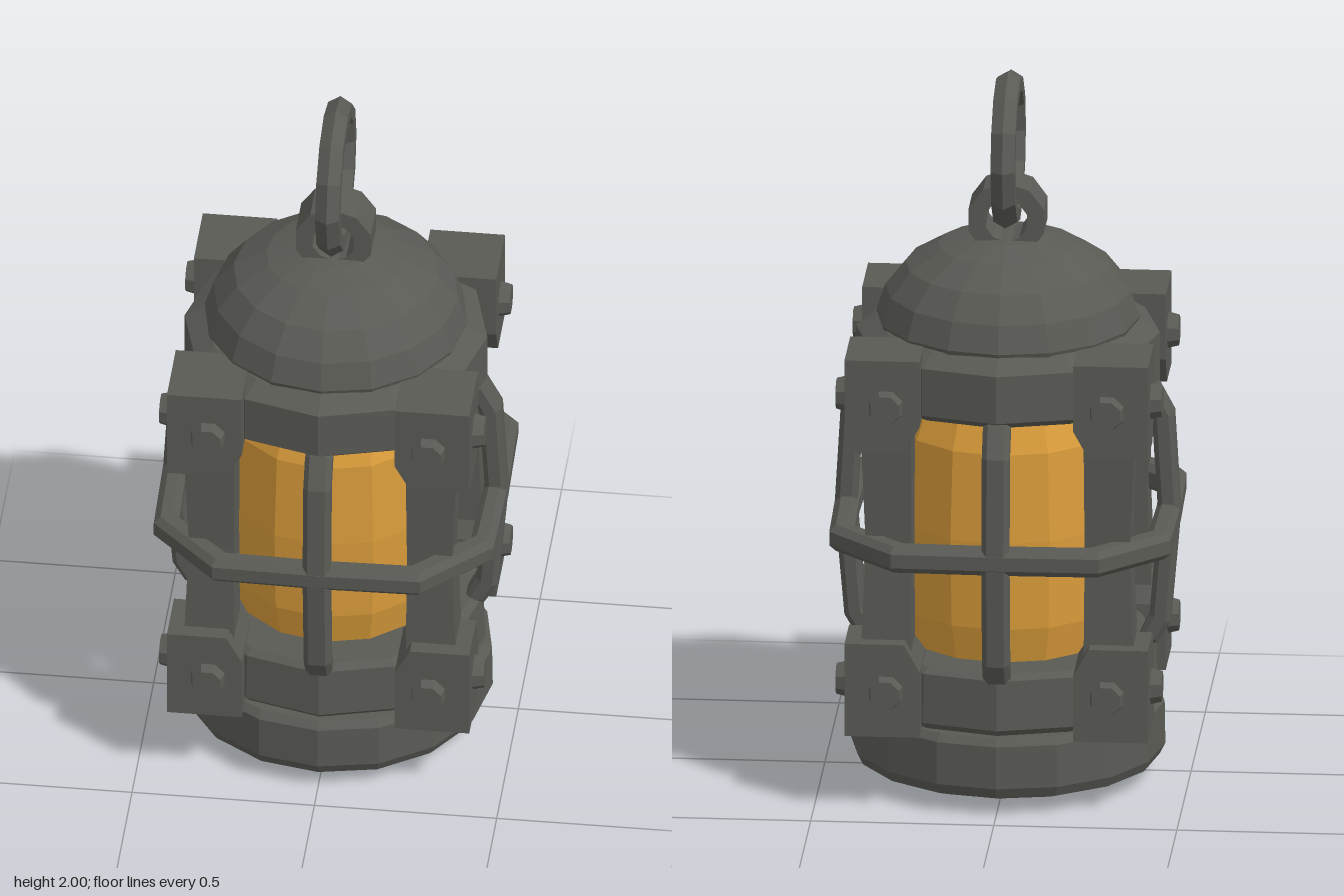
import * as THREE from 'three';

const iron = new THREE.MeshStandardMaterial({ color: 0x5a5a55, flatShading: true });
iron.name = 'dark iron';
const amber = new THREE.MeshStandardMaterial({ color: 0xdb9d3b, flatShading: true });
amber.name = 'amber glass';

function add(parent, name, geometry, material = iron) {
  const mesh = new THREE.Mesh(geometry, material);
  mesh.name = name;
  parent.add(mesh);
  return mesh;
}

const points = (list) => list.map(([x, y]) => new THREE.Vector2(x, y));
const lathe = (profile, sides) => new THREE.LatheGeometry(points(profile), sides);

// Centred, bevelled extrusion of an outline with an optional hole
function plate(outline, width, bevel, hole) {
  const shape = new THREE.Shape(points(outline));
  if (hole) shape.holes.push(new THREE.Path(points(hole)));
  const g = new THREE.ExtrudeGeometry(shape, {
    depth: width - 2 * bevel, bevelEnabled: bevel > 0,
    bevelThickness: bevel, bevelSize: bevel, bevelOffset: -bevel, bevelSegments: 1,
  });
  return g.translate(0, 0, -width / 2 + bevel);
}

const polygon = (radius, sides) => Array.from({ length: sides }, (_, i) => {
  const a = ((i + 0.5) / sides) * Math.PI * 2;
  return [radius * Math.cos(a), radius * Math.sin(a)];
});

// Corner bracket whose lower inner edges are cut back
function bracketGeometry() {
  const size = 0.205, height = 0.265;
  const g = new THREE.BoxGeometry(size, height, size, 1, 2, 1);
  const p = g.attributes.position;
  for (let i = 0; i < p.count; i++) {
    const y = p.getY(i);
    if (Math.abs(y) < 0.01) p.setY(i, -0.055);
    if (y < -0.01) {
      if (p.getX(i) < 0) p.setX(i, -0.06);
      if (p.getZ(i) < 0) p.setZ(i, -0.06);
    }
  }
  return g;
}

// Square post, slightly narrower at the waist
function postGeometry() {
  const g = new THREE.BoxGeometry(0.14, 0.72, 0.14, 1, 2, 1);
  const p = g.attributes.position;
  for (let i = 0; i < p.count; i++) {
    if (Math.abs(p.getY(i)) < 0.01) {
      p.setX(i, p.getX(i) * 0.88 - 0.006);
      p.setZ(i, p.getZ(i) * 0.88 - 0.006);
    }
  }
  return g;
}

// Bulging bar outline: x is the distance from the lantern's axis
const barOutline = [
  [0.35, 0.38], [0.41, 0.38], [0.445, 0.44], [0.472, 0.75], [0.455, 1.04], [0.41, 1.125],
  [0.35, 1.125], [0.395, 1.03], [0.412, 0.75], [0.388, 0.46],
];

// Eight corners plus a slight peak at the middle of each side
function hoopOutline(side, corner) {
  const out = [];
  for (let k = 0; k < 4; k++) {
    const c = Math.round(Math.cos(k * Math.PI / 2)), s = Math.round(Math.sin(k * Math.PI / 2));
    for (const [x, y] of [[side, -corner], [side + 0.006, 0], [side, corner]]) {
      out.push([x * c - y * s, x * s + y * c]);
    }
  }
  return out;
}

export function createModel() {
  const model = new THREE.Group();
  model.name = 'lantern';

  // Foot, bands and domed cap
  add(model, 'base', lathe([
    [0, 0.005], [0.36, 0.035], [0.415, 0.055], [0.43, 0.085], [0.428, 0.205], [0.41, 0.225], [0, 0.23],
  ], 16));
  add(model, 'lowerBand', lathe([
    [0, 0.22], [0.385, 0.22], [0.41, 0.245], [0.405, 0.385], [0.385, 0.4], [0, 0.4],
  ], 12));
  add(model, 'upperBand', lathe([
    [0, 1.11], [0.39, 1.11], [0.415, 1.13], [0.415, 1.265], [0.36, 1.3], [0, 1.3],
  ], 12));
  add(model, 'dome', lathe([
    [0.35, 1.28], [0.36, 1.31], [0.335, 1.385], [0.28, 1.455], [0.19, 1.51], [0.1, 1.537], [0, 1.542],
  ], 16));

  // Glass
  add(model, 'glass', lathe([
    [0, 0.39], [0.28, 0.39], [0.305, 0.5], [0.312, 0.75], [0.3, 1.0], [0.265, 1.09], [0.22, 1.125], [0, 1.125],
  ], 14), amber);

  // Corner posts with bolted brackets
  const bracket = bracketGeometry(), post = postGeometry();
  const bolt = new THREE.CylinderGeometry(0.042, 0.052, 0.04, 8);
  bolt.rotateY(Math.PI / 8).rotateX(Math.PI / 2);
  const flipAxis = new THREE.Vector3(1, 0, 1).normalize();
  for (let k = 0; k < 4; k++) {
    const corner = new THREE.Group();
    corner.name = 'cornerPost';
    corner.rotation.y = k * Math.PI / 2;
    add(corner, 'post', post).position.set(0.305, 0.755, 0.305);
    add(corner, 'upperBracket', bracket).position.set(0.312, 1.17, 0.312);
    const lower = add(corner, 'lowerBracket', bracket);
    lower.position.set(0.312, 0.355, 0.312);
    lower.quaternion.setFromAxisAngle(flipAxis, Math.PI);
    for (const y of [1.17, 0.35]) {
      add(corner, 'bolt', bolt).position.set(0.302, y, 0.425);
      const side = add(corner, 'bolt', bolt);
      side.position.set(0.425, y, 0.302);
      side.rotation.y = Math.PI / 2;
    }
    model.add(corner);
  }

  // Cage: four bowed bars and a hoop
  const bar = plate(barOutline, 0.075, 0.014);
  for (let k = 0; k < 4; k++) add(model, 'cageBar', bar).rotation.y = k * Math.PI / 2;
  const hoop = plate(hoopOutline(0.466, 0.285), 0.075, 0.018, hoopOutline(0.4, 0.25).reverse());
  add(model, 'cageHoop', hoop.rotateX(Math.PI / 2)).position.y = 0.745;

  // Hanging eye and ring
  add(model, 'eye', plate(polygon(0.108, 10), 0.122, 0, polygon(0.06, 10).reverse())).position.y = 1.595;
  const ring = new THREE.TorusGeometry(0.183, 0.038, 6, 12);
  add(model, 'ring', ring.rotateY(Math.PI / 2)).position.set(0, 1.779, 0.006);

  return model;
}
